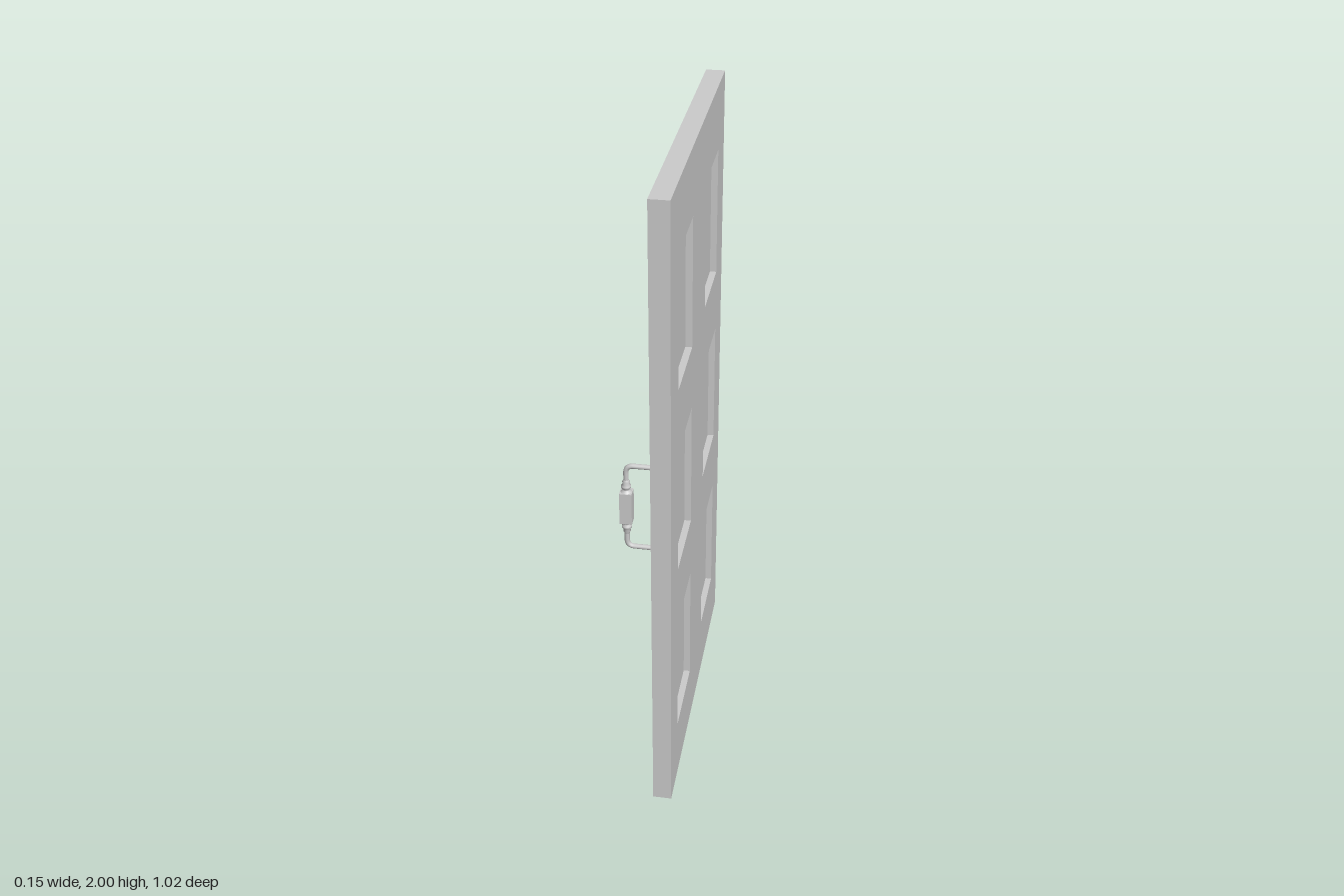
import * as THREE from 'three';

const material = new THREE.MeshStandardMaterial({ color: 0xcccccc });
const flat = new THREE.MeshStandardMaterial({ color: 0xcccccc, flatShading: true });

const DOOR = { x: 0.036, z: 0.01, width: 1, height: 2, depth: 0.057 };
const PANEL = { width: 0.25, height: 0.4, recess: 0.02 };

function addMesh(parent, name, geometry, x, y, z, mat = material) {
  const mesh = new THREE.Mesh(geometry, mat);
  mesh.name = name;
  mesh.position.set(x, y, z);
  parent.add(mesh);
  return mesh;
}

// Closed rectangle centred on (cx, cy)
function rectangle(Type, cx, cy, w, h) {
  const p = new Type();
  p.moveTo(cx - w / 2, cy - h / 2);
  p.lineTo(cx + w / 2, cy - h / 2);
  p.lineTo(cx + w / 2, cy + h / 2);
  p.lineTo(cx - w / 2, cy + h / 2);
  p.closePath();
  return p;
}

// Door frame with six openings, each closed by a panel recessed on both sides
function createDoor() {
  const door = new THREE.Group();
  door.name = 'door';
  const outline = rectangle(THREE.Shape, 0, DOOR.height / 2, DOOR.width, DOOR.height);
  const panelGeometry = new THREE.BoxGeometry(DOOR.depth - 2 * PANEL.recess, PANEL.height, PANEL.width);
  for (const side of [-0.25, 0.25]) {
    for (const y of [0.4, 1, 1.6]) {
      outline.holes.push(rectangle(THREE.Path, side, y, PANEL.width, PANEL.height));
      addMesh(door, 'panel', panelGeometry, 0, y, side);
    }
  }
  const frame = new THREE.ExtrudeGeometry(outline, { depth: DOOR.depth, bevelEnabled: false });
  frame.translate(0, 0, -DOOR.depth / 2).rotateY(Math.PI / 2);
  addMesh(door, 'doorFrame', frame, 0, 0, 0);
  door.position.set(DOOR.x, 0, DOOR.z);
  return door;
}

// Hinge barrels along the back edge
function createHinges() {
  const hinges = new THREE.Group();
  hinges.name = 'hinges';
  const barrel = new THREE.CylinderGeometry(0.012, 0.012, 0.13, 24);
  for (const y of [0.162, 1.022, 1.862]) addMesh(hinges, 'hinge', barrel, 0.035, y, -0.502);
  return hinges;
}

// Pull handle: bent bar with a square grip and a turned collar at each end
function createHandle() {
  const handle = new THREE.Group();
  handle.name = 'handle';
  const reach = -0.08, half = 0.135, bend = 0.022;
  const v = (x, y) => new THREE.Vector3(x, y, 0);
  const path = new THREE.CurvePath();
  path.add(new THREE.LineCurve3(v(0.004, half), v(reach + bend, half)));
  path.add(new THREE.QuadraticBezierCurve3(v(reach + bend, half), v(reach, half), v(reach, half - bend)));
  path.add(new THREE.LineCurve3(v(reach, half - bend), v(reach, -half + bend)));
  path.add(new THREE.QuadraticBezierCurve3(v(reach, -half + bend), v(reach, -half), v(reach + bend, -half)));
  path.add(new THREE.LineCurve3(v(reach + bend, -half), v(0.004, -half)));
  addMesh(handle, 'bar', new THREE.TubeGeometry(path, 80, 0.0075, 10), 0, 0, 0);
  addMesh(handle, 'grip', new THREE.BoxGeometry(0.035, 0.1, 0.035), reach, 0, 0, flat);

  const profile = [[0.016, 0.05], [0.01, 0.056], [0.009, 0.06], [0.014, 0.064],
    [0.014, 0.07], [0.0095, 0.075], [0.011, 0.083], [0.007, 0.09]];
  const collar = new THREE.LatheGeometry(profile.map(([r, y]) => new THREE.Vector2(r, y)), 16);
  addMesh(handle, 'upperCollar', collar, reach, 0, 0);
  addMesh(handle, 'lowerCollar', collar, reach, 0, 0).rotation.x = Math.PI;

  handle.position.set(0.01, 1.056, 0.453);
  return handle;
}

export function createModel() {
  const model = new THREE.Group();
  model.name = 'panelDoor';
  model.add(createDoor(), createHinges(), createHandle());
  return model;
}
